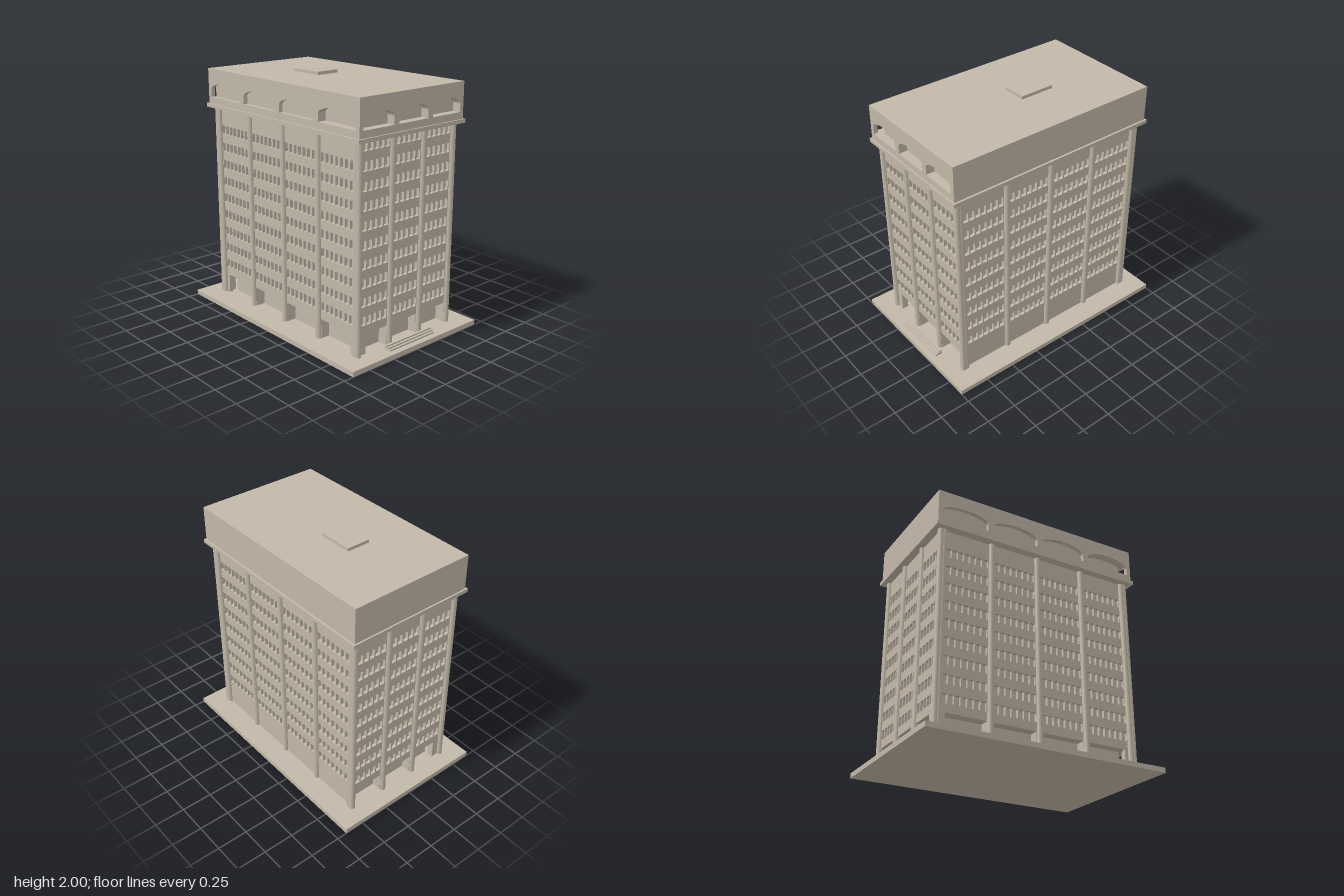
import * as THREE from 'three';

const stone = new THREE.MeshStandardMaterial({ color: 0xc2b8a8 });
stone.name = 'stone';

const BASE = 0.04, GROUND = 0.2, EAVES = 1.66, ATTIC = 1.69, ROOF = 1.975;
const HX = 0.48, HZ = 0.85;      // tower half sizes
const AX = 0.53, AZ = 0.9;       // attic half sizes
const SKIN = 0.025;              // depth of window recesses
const LAYER = 0.035;             // half the depth of the loggias
const SILL = 1.745, SPRING = 1.805, RISE = 0.06;

function add(parent, name, geometry) {
  const mesh = new THREE.Mesh(geometry, stone);
  mesh.name = name;
  parent.add(mesh);
  return mesh;
}

// Box given by its limits on each axis
function box(parent, name, x0, x1, y0, y1, z0, z1) {
  const mesh = add(parent, name, new THREE.BoxGeometry(x1 - x0, y1 - y0, z1 - z0));
  mesh.position.set((x0 + x1) / 2, (y0 + y1) / 2, (z0 + z1) / 2);
  return mesh;
}

const pts = list => list.map(([x, y]) => new THREE.Vector2(x, y));

function rectangle(x0, x1, y0, y1) {
  return pts([[x0, y0], [x1, y0], [x1, y1], [x0, y1]]);
}

// Window outline with softened corners
function windowHole(cx, y0, y1) {
  const w = 0.0215, c = 0.007, m = 0.002;
  const corner = [[w, y1 - c], [w - m, y1 - m], [w - c, y1]];
  const low = [[w - c, y0], [w - m, y0 + m], [w, y0 + c]];
  const flip = list => list.map(([x, y]) => [-x, y]).reverse();
  return new THREE.Path(pts([...low, ...corner, ...flip(corner), ...flip(low)]
    .map(([x, y]) => [cx + x, y])));
}

// Curve of an arched opening, from its left spring to its right spring
function archCurve(a, b) {
  const out = [];
  for (let i = 0; i <= 24; i++) {
    const t = Math.PI * (1 - i / 24);
    out.push([(a + b) / 2 + Math.cos(t) * (b - a) / 2, SPRING + Math.sin(t) * RISE]);
  }
  return out;
}

const archHole = ([a, b]) => new THREE.Path(pts([[a, SILL], ...archCurve(a, b), [b, SILL]]));

function panel(parent, name, shape, depth, z) {
  const mesh = add(parent, name, new THREE.ExtrudeGeometry(shape, { depth, bevelEnabled: false }));
  mesh.position.z = z;
}

// Group whose local +z is the outward direction of one side
function side(root, name, angle) {
  const group = new THREE.Group();
  group.name = name;
  group.rotation.y = angle;
  root.add(group);
  return group;
}

// One tower side: pierced wall, columns, and piers where the ground floor is open
function facade(group, o) {
  const shape = new THREE.Shape(rectangle(-o.half, o.half, o.open ? GROUND : BASE, EAVES));
  for (const bay of o.bays) {
    for (let r = 0; r < o.rows; r++) {
      for (let i = 0; i < o.count; i++) {
        const y = 0.27 + r * 0.146;
        const x = bay + (i - (o.count - 1) / 2) * o.pitch;
        shape.holes.push(windowHole(x, y, Math.min(y + 0.074, 1.643)));
      }
    }
  }
  panel(group, 'windowWall', shape, SKIN, o.plane - SKIN);
  for (const x of o.columns) {
    const column = add(group, 'column',
      new THREE.CylinderGeometry(0.025, 0.025, EAVES - BASE, 20, 1, true));
    column.position.set(x, (EAVES + BASE) / 2, o.plane);
    if (o.open) {
      const x0 = Math.max(x - 0.0275, -o.half), x1 = Math.min(x + 0.0275, o.half);
      box(group, 'pier', x0, x1, BASE, GROUND, o.plane - 0.08, o.plane);
    }
  }
}

// Arcade in two layers; the inner one stops short so the loggias join at the corner
function arcade(group, half, arches, mirror) {
  const outer = new THREE.Shape(rectangle(-half, half, ATTIC, ROOF));
  outer.holes.push(...arches.map(archHole));
  panel(group, 'arcadeFace', outer, LAYER, group.userData.plane - LAYER);

  const end = -half + 2 * LAYER, [a, b] = arches[0];
  const curve = archCurve(a, b);
  const k = curve.findIndex(p => p[0] > end);
  const [p, q] = [curve[k - 1], curve[k]];
  const cutY = p[1] + (q[1] - p[1]) * (end - p[0]) / (q[0] - p[0]);
  const outline = [[end, ATTIC], [half, ATTIC], [half, ROOF], [end, ROOF],
    [end, cutY], ...curve.slice(k), [b, SILL], [end, SILL]];
  const inner = new THREE.Shape(pts(outline.map(([x, y]) => [x * mirror, y])));
  for (const [c, d] of arches.slice(1)) {
    inner.holes.push(archHole(mirror > 0 ? [c, d] : [-d, -c]));
  }
  panel(group, 'arcadeReveal', inner, LAYER, group.userData.plane - 2 * LAYER);
}

// Evenly spaced arches between corner posts
function archRow(half, n) {
  const gap = 0.05, w = (2 * half - 2 * LAYER - (n - 1) * gap) / n;
  return Array.from({ length: n }, (_, i) => {
    const a = -half + LAYER + i * (w + gap);
    return [a, a + w];
  });
}

export function createModel() {
  const root = new THREE.Group();
  root.name = 'towerBlock';

  // Plinth and entrance steps
  box(root, 'plinth', -0.665, 0.665, 0, BASE, -1, 1);
  [0.95, 0.932, 0.914].forEach((z, i) =>
    box(root, 'entranceStep', -0.24, 0.24, BASE, 0.052 + i * 0.0115, 0.893, z));

  // Solid cores behind the walls
  box(root, 'groundCore', -HX + 0.08, HX - SKIN, BASE, GROUND, -HZ + 0.08, HZ - 0.08);
  box(root, 'towerCore', -HX + SKIN, HX - SKIN, GROUND, EAVES, -HZ + SKIN, HZ - SKIN);

  // Four tower sides
  const short = { half: HX, plane: HZ, count: 5, pitch: 0.0535,
    bays: [-0.32, 0, 0.32], columns: [-0.48, -0.16, 0.16, 0.48] };
  const long = { half: HZ, plane: HX, count: 7, pitch: 0.052, rows: 9,
    bays: [-0.62, -0.206, 0.206, 0.62], columns: [-0.825, -0.4125, 0, 0.4125, 0.825] };
  facade(side(root, 'frontSide', 0), { ...short, rows: 10, open: true });
  facade(side(root, 'backSide', Math.PI), { ...short, rows: 9, open: true });
  facade(side(root, 'leftSide', Math.PI / 2), { ...long, open: false });
  facade(side(root, 'rightSide', -Math.PI / 2), { ...long, open: true });

  // Cornice, attic storey and its corner loggia
  box(root, 'cornice', -0.547, 0.547, EAVES, ATTIC, -0.913, 0.913);
  box(root, 'atticCore', -AX + 2 * LAYER, AX, ATTIC, ROOF, -AZ, AZ - 2 * LAYER);
  const front = side(root, 'frontArcade', 0);
  front.userData.plane = AZ;
  arcade(front, AX, archRow(AX, 3), 1);
  const flank = side(root, 'rightArcade', -Math.PI / 2);
  flank.userData.plane = AX;
  arcade(flank, AZ, archRow(AZ, 4), -1);
  for (const [y0, y1] of [[ATTIC, SILL], [1.843, ROOF]]) {
    box(root, 'loggiaCorner', -AX + LAYER, -AX + 2 * LAYER, y0, y1, AZ - 2 * LAYER, AZ - LAYER);
  }

  // Roof hatch
  box(root, 'roofHatch', -0.1, 0.1, ROOF, 2, -0.32, -0.03);
  return root;
}
